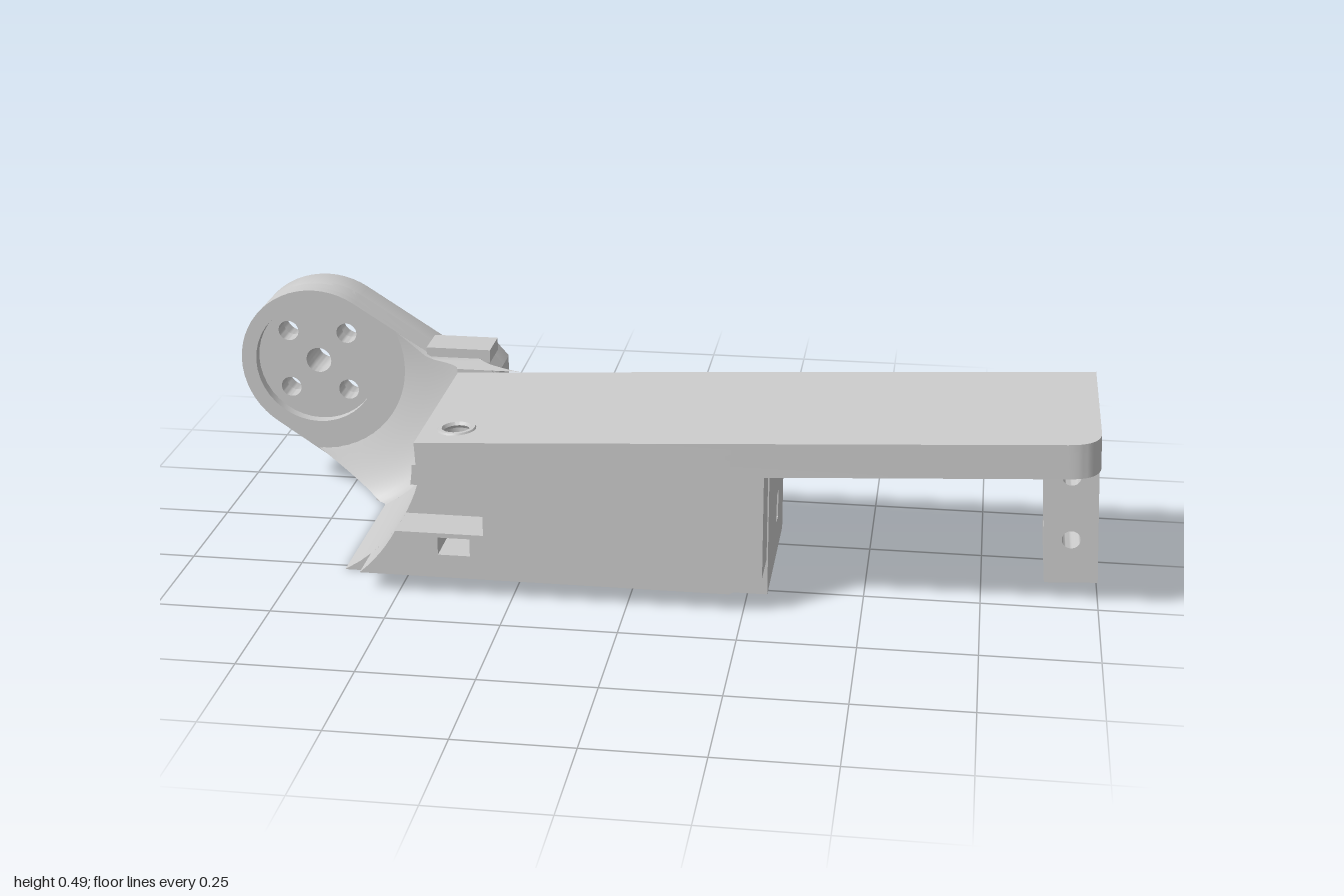
import * as THREE from 'three';
import { toCreasedNormals } from 'three/addons/utils/BufferGeometryUtils.js';

const mat = new THREE.MeshStandardMaterial({ color: 0xcccccc });
const V = (x, y) => new THREE.Vector2(x, y);
const CX = -0.82, CY = 0.32, R = 0.18;      // pivot centre and disc radius
const CLEAR = 0.36;                         // clearance arc around the pivot
const SLOPE = 0.052;                        // tilt of the top plate
const TOP = 0.355, BOTTOM = 0.005;
const TANGENT = 57 * Math.PI / 180;         // where the arm's sides leave the disc

function add(parent, name, geo, crease = 0.5) {
  const mesh = new THREE.Mesh(toCreasedNormals(geo, crease), mat);
  mesh.name = name;
  parent.add(mesh);
  return mesh;
}

function circleHole(x, y, r) {
  const p = new THREE.Path();
  p.absarc(x, y, r, 0, Math.PI * 2, true);
  return p;
}

function rectHole(x0, x1, y0, y1) {
  return new THREE.Path([V(x0, y0), V(x0, y1), V(x1, y1), V(x1, y0)]);
}

// Outline in x/y pulled from z0 to z1
function slab(points, z0, z1, holes = [], bevel = 0) {
  const shape = new THREE.Shape(points);
  shape.holes.push(...holes);
  const geo = new THREE.ExtrudeGeometry(shape, {
    depth: z1 - z0 - 2 * bevel, bevelEnabled: bevel > 0, bevelSize: bevel,
    bevelThickness: bevel, bevelOffset: -bevel, bevelSegments: 3, curveSegments: 20,
  });
  return geo.translate(0, 0, z0 + bevel);
}

// Upright wall across x with slots at the given heights
function slottedWall(x0, x1, y0, y1, z0, z1, heights) {
  const holes = heights.map(h => rectHole(-0.07, -0.03, h - 0.033, h + 0.033));
  return slab([V(-z1, y0), V(-z0, y0), V(-z0, y1), V(-z1, y1)], x0, x1, holes).rotateY(Math.PI / 2);
}

// Points of the clearance arc between two heights
function clearance(y0, y1, n = 14) {
  return Array.from({ length: n + 1 }, (_, i) => {
    const y = y0 + (y1 - y0) * i / n;
    return V(CX + Math.sqrt(CLEAR ** 2 - (y - CY) ** 2), y);
  });
}

// Point on the arm's straight side (upper: sign 1, lower: -1) at distance r from the pivot
function sidePoint(sign, r) {
  const s = Math.sqrt(Math.max(0, r * r - R * R));
  const x = CX + sign * R * Math.cos(TANGENT) + s * Math.sin(TANGENT);
  const y = CY + sign * R * Math.sin(TANGENT) - s * Math.cos(TANGENT);
  const limit = sign > 0 ? TOP : BOTTOM;
  return y >= limit ? V(x, y) : V(CX + Math.sqrt(r * r - (limit - CY) ** 2), limit);
}

// Flat edges of the arm's root, from bottom corner round to top corner
function rootEdge(right, a = -0.675, b = -0.54) {
  return [V(a, BOTTOM), V(right - 0.035, BOTTOM), V(right, BOTTOM + 0.04),
    V(right, TOP - 0.04), V(right - 0.035, TOP), V(b, TOP)];
}

// Concave blend between the arm's face and the body
function blendGeometry() {
  const pos = [], idx = [], steps = 10, n = 18;
  let count = 0;
  for (let i = 0; i <= steps; i++) {
    const u = i / steps, z = -0.185 + 0.09 * u;
    const r = 0.2 + (CLEAR - 0.2) * Math.sin(u * Math.PI / 2);
    const up = sidePoint(1, r), low = sidePoint(-1, r);
    const a0 = Math.atan2(up.y - CY, up.x - CX), a1 = Math.atan2(low.y - CY, low.x - CX);
    const ring = [];
    for (let k = 0; k <= n; k++) {
      const a = a0 + (a1 - a0) * k / n;
      ring.push(V(CX + r * Math.cos(a), CY + r * Math.sin(a)));
    }
    ring.push(...rootEdge(-0.39 + 0.11 * u * u, Math.max(-0.675, low.x), Math.max(-0.54, up.x)));
    count = ring.length;
    ring.forEach(p => pos.push(p.x, p.y, z));
  }
  for (let i = 0; i < steps; i++) for (let j = 0; j < count; j++) {
    const a = i * count + j, b = i * count + (j + 1) % count;
    idx.push(a, b, a + count, b, b + count, a + count);
  }
  const geo = new THREE.BufferGeometry();
  geo.setAttribute('position', new THREE.Float32BufferAttribute(pos, 3));
  geo.setIndex(idx);
  return geo;
}

export function createModel() {
  const model = new THREE.Group();
  model.name = 'armBracket';

  // Main block with screw holes near its end
  add(model, 'block', slab(
    [...clearance(0.305, BOTTOM), V(0.255, BOTTOM), V(0.255, 0.335)], -0.095, 0.27,
    [circleHole(0.22, 0.25, 0.02), circleHole(0.22, 0.12, 0.02)]));
  add(model, 'blockEnd', slottedWall(0.255, 0.293, BOTTOM, 0.335, -0.095, 0.27, [0.26, 0.12]));

  // Front panel, notched on the pivot side
  add(model, 'frontPanel', slab(
    [...clearance(0.305, 0.26, 4), V(-0.31, 0.26), V(-0.31, 0.15), ...clearance(0.15, 0.047, 6),
      V(0.22, 0.047), V(0.29, 0.088), V(0.29, 0.335)], 0.27, 0.37,
    [rectHole(-0.41, -0.34, 0.1, 0.14)]));

  // Tilted top plate with its hanging tab
  const top = new THREE.Group();
  top.name = 'topPlateAssembly';
  top.position.y = 0.3795;
  top.rotation.z = SLOPE;
  model.add(top);

  const plan = new THREE.Shape();
  plan.moveTo(-0.455, -0.095);
  plan.lineTo(0.979, -0.095);
  plan.lineTo(0.979, 0.3);
  plan.quadraticCurveTo(0.979, 0.37, 0.91, 0.37);
  plan.lineTo(-0.455, 0.37);
  plan.closePath();
  plan.holes.push(circleHole(-0.38, 0.285, 0.032));
  const plate = new THREE.ExtrudeGeometry(plan, { depth: 0.075, steps: 3, bevelEnabled: false });
  plate.rotateX(Math.PI / 2);
  const p = plate.attributes.position;
  for (let i = 0; i < p.count; i++)          // chamfer the upper rear edge
    if (p.getY(i) > -0.01 && p.getZ(i) < -0.09) p.setZ(i, -0.07);
  add(top, 'topPlate', plate);

  const rim = new THREE.TorusGeometry(0.036, 0.008, 6, 20).rotateX(Math.PI / 2);
  add(top, 'screwHoleRim', rim).position.set(-0.38, -0.003, 0.285);

  add(top, 'tabCore', slab(
    [V(0.895, -0.38), V(0.949, -0.38), V(0.949, -0.07), V(0.895, -0.07)], -0.02, 0.21,
    [circleHole(0.922, -0.135, 0.02), circleHole(0.922, -0.28, 0.02)]));
  for (const x of [0.865, 0.949])
    add(top, 'tabWall', slottedWall(x, x + 0.03, -0.38, -0.07, -0.02, 0.21, [-0.135, -0.28]));

  // Pivot arm: bevelled back, drilled web, raised front rim
  const outline = [];
  for (let k = 0; k <= 28; k++) {
    const a = TANGENT + Math.PI * k / 28;
    outline.push(V(CX + R * Math.cos(a), CY + R * Math.sin(a)));
  }
  outline.push(...rootEdge(-0.385));
  const bolts = r => [circleHole(CX, CY, 0.03),
    ...[[1, 1], [1, -1], [-1, 1], [-1, -1]].map(([i, j]) => circleHole(CX + i * 0.07, CY + j * 0.07, r))];
  add(model, 'armBack', slab(outline, -0.33, -0.215, bolts(0.036), 0.02));
  add(model, 'armWeb', slab(outline, -0.25, -0.205, bolts(0.024)));
  add(model, 'armRim', slab(outline, -0.205, -0.18, [circleHole(CX, CY, 0.145)]));
  add(model, 'armBlend', blendGeometry(), 0.6);

  // Bulge on the back of the arm and small raised stop on top
  const bulge = add(model, 'backBulge', new THREE.SphereGeometry(1, 16, 10), 0.7);
  bulge.scale.set(0.16, 0.095, 0.055);
  bulge.rotation.z = -0.5;
  bulge.position.set(-0.565, 0.16, -0.315);
  const stop = add(model, 'topStop', new THREE.BoxGeometry(0.15, 0.03, 0.09));
  stop.position.set(-0.475, 0.362, -0.215);

  return model;
}
